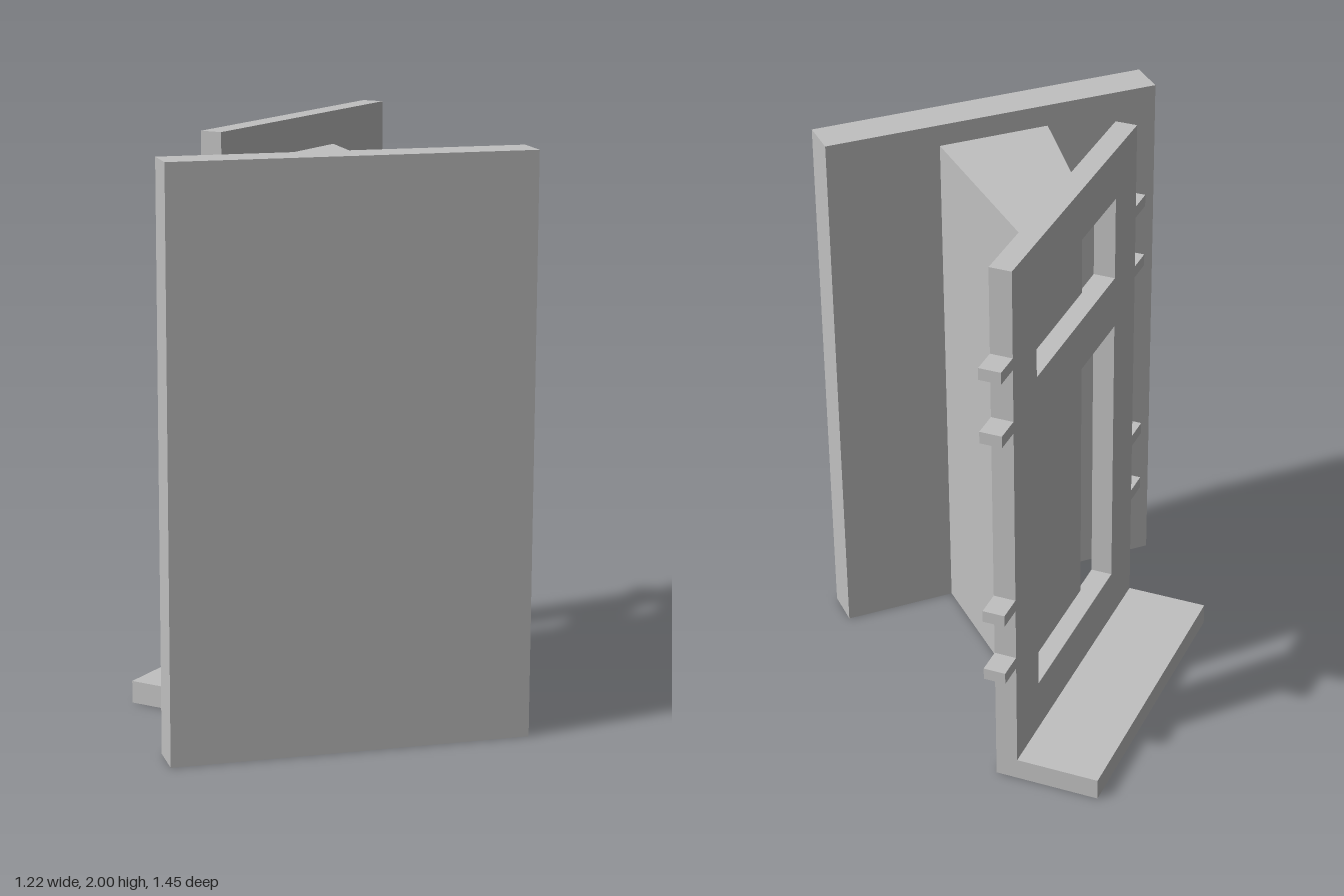
import * as THREE from 'three';

export function createModel() {
  const model = new THREE.Group();
  const grey = new THREE.MeshStandardMaterial({ color: 0xc0c0c0 });
  grey.name = 'plain grey';

  const add = (parent, name, geometry) => {
    const mesh = new THREE.Mesh(geometry, grey);
    mesh.name = name;
    parent.add(mesh);
  };

  // Box given by its minimum and maximum corners
  const box = (x0, y0, z0, x1, y1, z1) =>
    new THREE.BoxGeometry(x1 - x0, y1 - y0, z1 - z0)
      .translate((x0 + x1) / 2, (y0 + y1) / 2, (z0 + z1) / 2);

  const polygon = (points, Type = THREE.Shape) =>
    new Type(points.map(([x, y]) => new THREE.Vector2(x, y)));
  const rectangle = (x0, y0, x1, y1) => [[x0, y0], [x1, y0], [x1, y1], [x0, y1]];

  // Upright front panel
  add(model, 'frontPanel', box(-0.61, 0, 0.587, 0.61, 1.963, 0.727));

  // Tapered block from the panel to the frame, its tip let slightly into the frame
  const plan = [[-0.2, 0.587], [0.2, 0.587], [0.186, -0.223], [-0.107, 0.07]];
  const block = new THREE.ExtrudeGeometry(
    polygon(plan.map(([x, z]) => [x, -z])), { depth: 1.885, bevelEnabled: false });
  add(model, 'taperedBlock', block.rotateX(-Math.PI / 2));

  // Turned frame assembly
  const frame = new THREE.Group();
  frame.name = 'frameAssembly';
  frame.rotation.y = Math.PI / 4;
  model.add(frame);

  const left = -0.456, right = 0.636, back = -0.094, front = -0.016, margin = 0.195;

  // Frame with a small upper and a tall lower opening
  const outline = polygon(rectangle(left, 0, right, 2));
  for (const [y0, y1] of [[0.27, 1.32], [1.51, 1.815]]) {
    outline.holes.push(polygon(rectangle(left + margin, y0, right - margin, y1), THREE.Path));
  }
  add(frame, 'windowFrame', new THREE.ExtrudeGeometry(
    outline, { depth: front - back, bevelEnabled: false }).translate(0, 0, back));

  // Foot slab behind the frame
  add(frame, 'footSlab', box(left, 0, -0.391, right, 0.078, back));

  // Short pegs on both edges
  for (const y of [0.475, 0.712, 1.412, 1.647]) {
    add(frame, 'leftPeg', box(left - 0.094, y, back, left, y + 0.043, front));
    add(frame, 'rightPeg', box(right, y, back, right + 0.094, y + 0.043, front));
  }

  return model;
}
